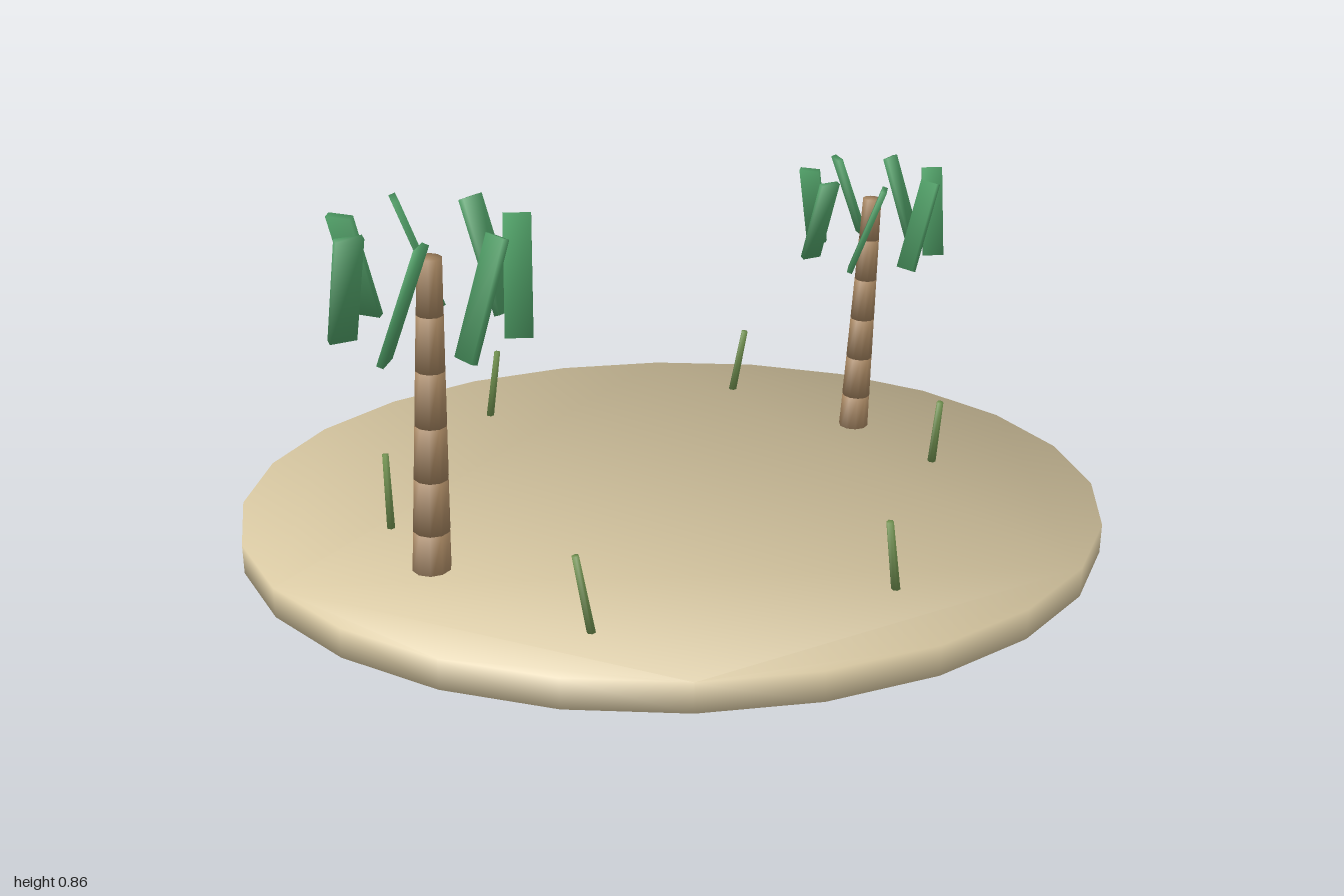
import * as THREE from 'three';

const material = (name, color) => Object.assign(new THREE.MeshStandardMaterial({ color }), { name });

// Pillow-soft shading: normals fan out from the centre, blended over every edge.
function soften(geometry) {
  geometry.center();
  const half = geometry.boundingBox.getSize(new THREE.Vector3()).multiplyScalar(0.5);
  const { position, normal } = geometry.attributes;
  const n = new THREE.Vector3();
  for (let i = 0; i < position.count; i++) {
    n.fromBufferAttribute(position, i).divide(half).normalize();
    normal.setXYZ(i, n.x, n.y, n.z);
  }
  return geometry;
}

function addMesh(parent, name, geometry, mat) {
  const mesh = new THREE.Mesh(geometry, mat);
  mesh.name = name;
  parent.add(mesh);
  return mesh;
}

export function createModel() {
  const sand = material('sand', 0xd9c9a3);
  const bark = material('bark', 0xa3835f);
  const leaf = material('leaf', 0x4f9e66);
  const grass = material('grass', 0x6f8f4e);

  const model = new THREE.Group();
  model.name = 'island';
  const top = 0.07;

  // Flat oval sandbank with 24 sides
  const outline = new THREE.Shape();
  for (let i = 0; i < 24; i++) {
    const a = (i / 24) * Math.PI * 2;
    const x = Math.cos(a), y = 0.83 * Math.sin(a);
    if (i === 0) outline.moveTo(x, y); else outline.lineTo(x, y);
  }
  outline.closePath();
  const slab = new THREE.ExtrudeGeometry(outline, { depth: top, bevelEnabled: false });
  slab.rotateX(-Math.PI / 2);
  addMesh(model, 'sandbank', soften(slab), sand).position.y = top / 2;

  // Palm: six stacked trunk rings leaning sideways, seven slanted fronds around the top
  const ringHeight = 0.1225;
  const frondGeometry = soften(new THREE.BoxGeometry(0.058, 0.255, 0.015));
  function addPalm(name, x, y, z, scale) {
    const palm = new THREE.Group();
    palm.name = name;
    palm.position.set(x, y, z);
    palm.scale.setScalar(scale);
    model.add(palm);
    for (let i = 0; i < 6; i++) {
      const r = 0.044 - 0.003 * i;
      const ring = soften(new THREE.CylinderGeometry(r * 0.92, r, ringHeight, 10));
      const mesh = addMesh(palm, 'trunkRing', ring, bark);
      mesh.position.set(0.005 * i, ringHeight * (i + 0.5), 0);
      mesh.rotation.z = -0.04;
    }
    for (let i = 0; i < 7; i++) {
      const arm = new THREE.Group();
      arm.name = 'frondArm';
      arm.position.set(0.027, 0.693, 0);
      arm.rotation.y = -(i / 7) * Math.PI * 2;
      palm.add(arm);
      const frond = addMesh(arm, 'frond', frondGeometry, leaf);
      frond.position.x = 0.178;
      frond.rotation.x = -0.35;
    }
  }
  addPalm('tallPalm', -0.536, 0.04, 0.34, 1);
  addPalm('shortPalm', 0.487, 0.05, -0.38, 0.845);

  // Ring of six leaning grass blades
  const bladeGeometry = soften(new THREE.CylinderGeometry(0.008, 0.01, 0.18, 6));
  for (let i = 0; i < 6; i++) {
    const arm = new THREE.Group();
    arm.name = 'grassArm';
    arm.rotation.y = 0.2 - (i / 6) * Math.PI * 2;
    model.add(arm);
    const blade = addMesh(arm, 'grassBlade', bladeGeometry, grass);
    blade.position.set(0.66, 0.15, 0);
    blade.rotation.x = 0.18;
  }

  return model;
}
